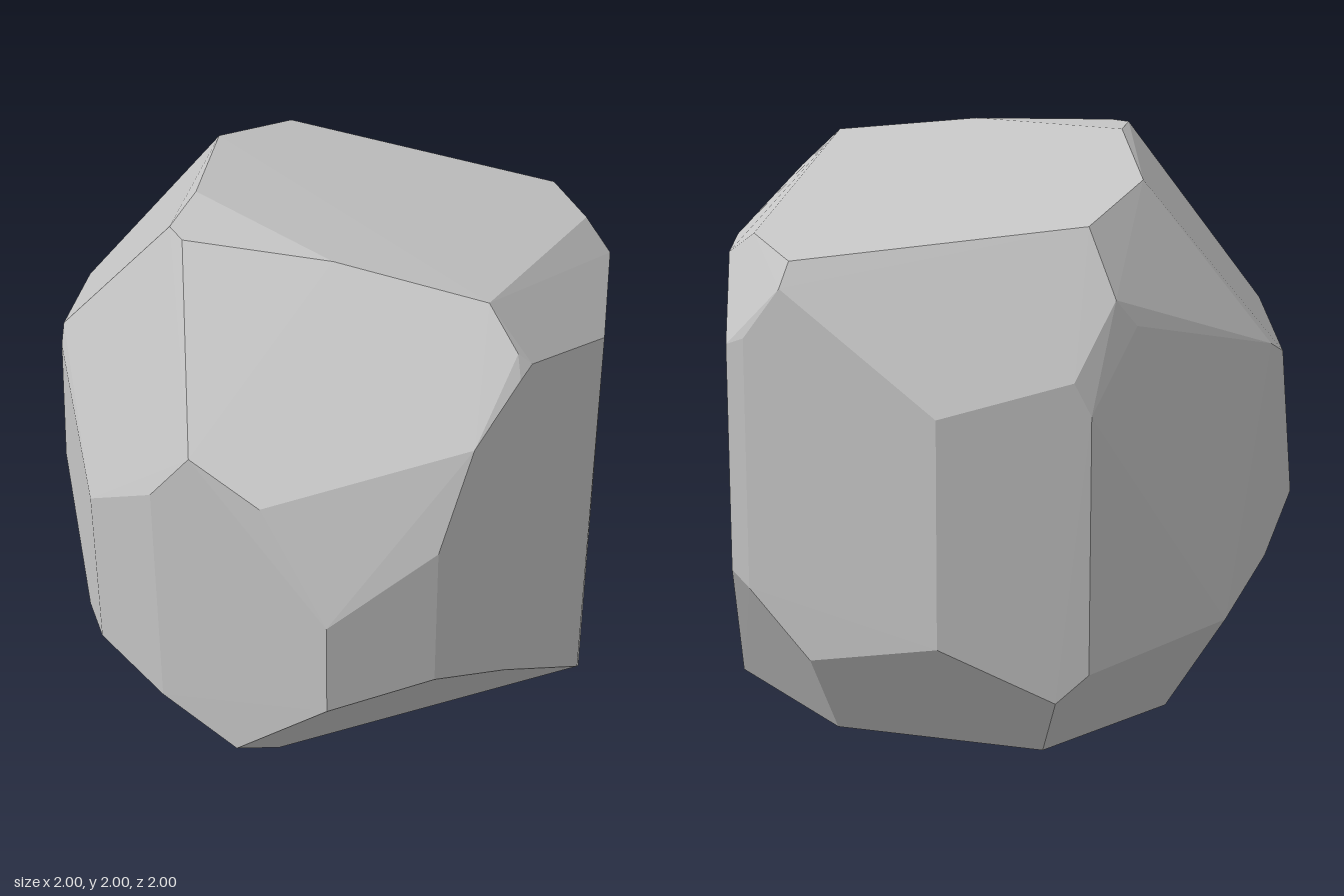
import * as THREE from 'three';
import { ConvexGeometry } from 'three/addons/geometries/ConvexGeometry.js';

// Upright edges of the boulder's sides: x, z, lower y, upper y
const columns = [
  [0.15, 1, 0.36, 1.27], [0.82, 0.82, 0.65, 1.02], [1, 0.5, 0.72, 1.27],
  [0.98, 0.14, 0.52, 1.77], [0.85, -0.4, 0.1, 1.61], [0.33, -1, 0.58, 1.37],
  [0.25, -1, 0.53, 1.4], [-0.455, -0.85, 0.42, 1.2], [-0.845, -0.535, 0.33, 1.21],
  [-1, 0.3, 0.57, 1.33], [-0.2, 1, 0.4, 1.04],
];

// Flat base outline: x, z at y = 0
const base = [
  [0.72, -0.56], [0.78, -0.49], [0.35, 0.64], [-0.47, 0.54],
  [-0.72, 0.11], [-0.63, -0.5], [0.06, -0.77],
];

// Corners where the lower chips meet the sides
const lowerChips = [
  [0.45, 0.26, 0.915], [-0.47, 0.29, 0.86], [-0.83, 0.69, 0.67], [-1, 0.77, 0.46],
  [-0.97, 0.38, 0.1], [-0.76, 0.23, -0.605], [0.02, 0.305, -0.95],
];

// Corners of the upper chips
const upperChips = [
  [0.31, 1.49, 0.955], [0.57, 1.4, 0.88], [0.995, 1.61, 0.35], [0.94, 1.84, 0.115],
  [0.97, 1.8, 0.08], [0.53, 1.63, -0.77], [0.11, 1.58, -0.97], [-0.8, 1.32, -0.57],
  [-0.84, 1.57, -0.4], [-0.88, 1.48, -0.335], [-1, 1.29, 0.38], [-0.69, 1.39, 0.72],
  [-0.67, 1.32, 0.75],
];

// Crown: small level patch in front, large facet sloping to the back
const crown = [
  [-0.17, 2, 0.62], [-0.08, 2, 0.64], [0.34, 2, 0.36], [-0.28, 2, 0.42],
  [0.79, 1.95, 0.1], [0.4, 1.71, -0.78], [0.11, 1.665, -0.92],
  [-0.7, 1.79, -0.36], [-0.65, 1.895, 0.02],
];

export function createModel() {
  const stone = new THREE.MeshStandardMaterial({ color: 0xc5c5c5 });
  stone.name = 'stone grey';

  const points = [];
  const add = (x, y, z) => points.push(new THREE.Vector3(x, y, z));
  for (const [x, z, low, high] of columns) {
    add(x, low, z);
    add(x, high, z);
  }
  for (const [x, z] of base) add(x, 0, z);
  for (const ring of [lowerChips, upperChips, crown]) {
    for (const corner of ring) add(...corner);
  }

  // The hull gives every facet its own flat normal
  const boulder = new THREE.Mesh(new ConvexGeometry(points), stone);
  boulder.name = 'boulder';

  const group = new THREE.Group();
  group.name = 'rock';
  group.add(boulder);
  return group;
}
